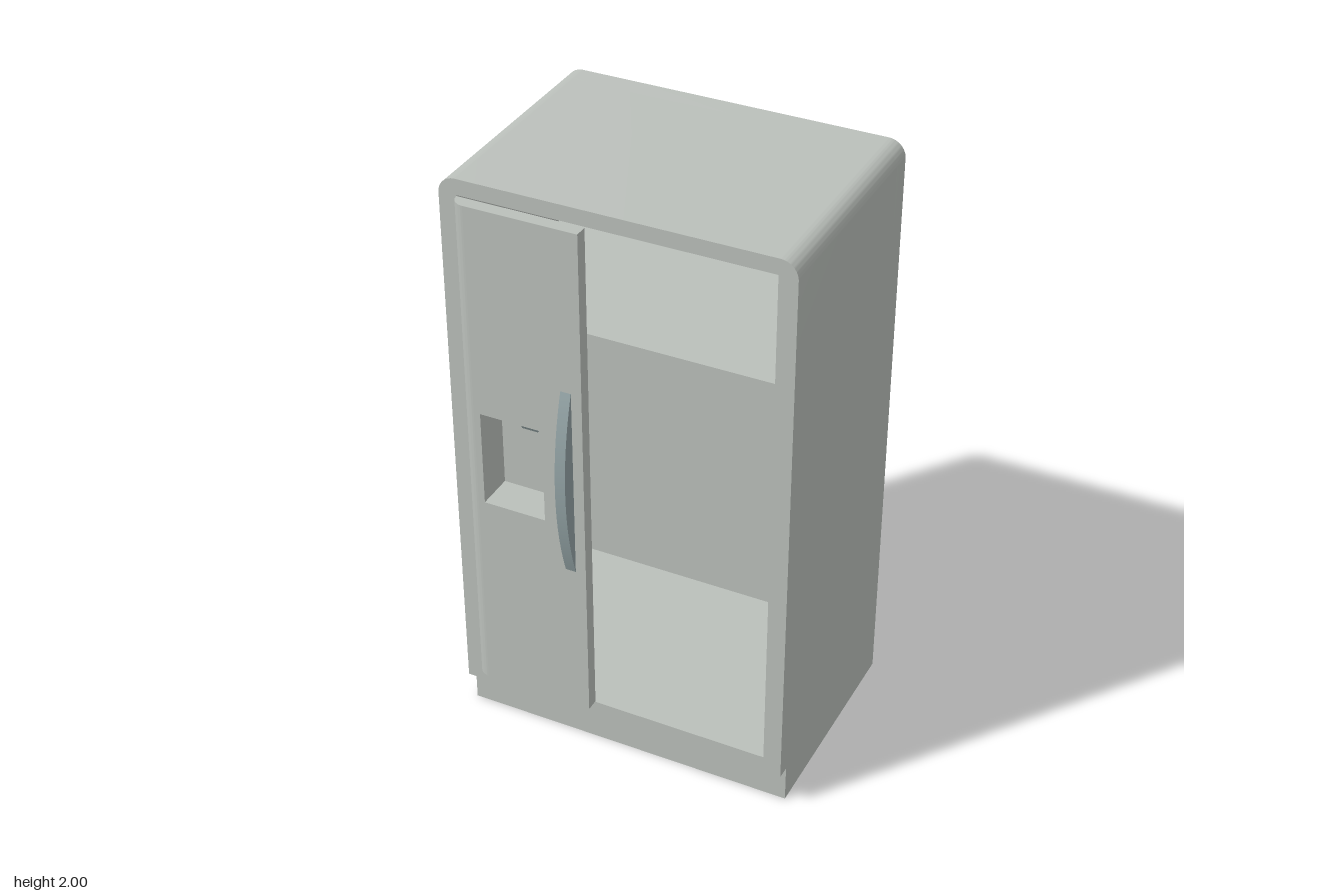
import * as THREE from 'three';
import { toCreasedNormals } from 'three/addons/utils/BufferGeometryUtils.js';

const W = 0.565, BACK = -0.44, FRONT = 0.345, DOOR = 0.388;

function rectPath(PathType, x0, y0, x1, y1) {
  const p = new PathType();
  p.moveTo(x0, y0);
  p.lineTo(x1, y0);
  p.lineTo(x1, y1);
  p.lineTo(x0, y1);
  p.closePath();
  return p;
}

function extrude(shape, depth) {
  const g = new THREE.ExtrudeGeometry(shape, { depth, bevelEnabled: false, curveSegments: 12 });
  return toCreasedNormals(g, 0.5);
}

export function createModel() {
  const group = new THREE.Group();
  const shell = new THREE.MeshStandardMaterial({ color: 0xbbc0bb });
  shell.name = 'paleGrey';
  const steel = new THREE.MeshStandardMaterial({ color: 0x92a2a4 });
  steel.name = 'blueGrey';

  const add = (name, geometry, material = shell) => {
    const mesh = new THREE.Mesh(geometry, material);
    mesh.name = name;
    group.add(mesh);
    return mesh;
  };
  const box = (name, x0, x1, y0, y1, z0, z1, material) =>
    add(name, new THREE.BoxGeometry(x1 - x0, y1 - y0, z1 - z0), material)
      .position.set((x0 + x1) / 2, (y0 + y1) / 2, (z0 + z1) / 2);

  // Cabinet outline with rounded top corners
  const outline = () => {
    const r = 0.056, s = new THREE.Shape();
    s.moveTo(-W, 0.13);
    s.lineTo(W, 0.13);
    s.lineTo(W, 2 - r);
    s.absarc(W - r, 2 - r, r, 0, Math.PI / 2, false);
    s.lineTo(-W + r, 2);
    s.absarc(-W + r, 2 - r, r, Math.PI / 2, Math.PI, false);
    s.closePath();
    return s;
  };

  // Hollow cabinet, closed by a back wall and set on a recessed plinth
  const cavityBack = -0.37;
  const frame = outline();
  frame.holes.push(rectPath(THREE.Path, -0.505, 0.19, 0.505, 1.948));
  add('cabinet', extrude(frame, FRONT - cavityBack)).position.z = cavityBack;
  add('backWall', extrude(outline(), cavityBack - BACK)).position.z = BACK;
  box('plinth', -W, W, 0, 0.13, BACK, 0.3);
  box('shelf', -0.505, 0.505, 1.503, 1.562, cavityBack, 0.3);

  // Door panel with the dispenser opening
  const d = { x0: -0.44, x1: -0.228, y0: 0.905, y1: 1.235, z: 0.262 };
  const y0 = 0.193, y1 = 1.945, seam = -0.462;
  const panel = rectPath(THREE.Shape, seam, y0, -0.09, y1);
  panel.holes.push(rectPath(THREE.Path, d.x0, d.y0, d.x1, d.y1));
  add('door', extrude(panel, DOOR - FRONT)).position.z = FRONT;

  // Rounded hinge edge of the door, drawn in plan and extruded upward
  const edge = new THREE.Shape();
  edge.moveTo(seam, -FRONT);
  edge.lineTo(-0.505, -FRONT);
  edge.absarc(seam, -FRONT, DOOR - FRONT, Math.PI, Math.PI * 1.5, false);
  edge.closePath();
  const edgeMesh = add('doorEdge', extrude(edge, y1 - y0));
  edgeMesh.rotation.x = -Math.PI / 2;
  edgeMesh.position.y = y0;

  // Dispenser niche: thin sleeve and back plate behind the door
  const t = 0.008;
  const sleeve = rectPath(THREE.Shape, d.x0 - t, d.y0 - t, d.x1 + t, d.y1 + t);
  sleeve.holes.push(rectPath(THREE.Path, d.x0, d.y0, d.x1, d.y1));
  add('dispenserNiche', extrude(sleeve, FRONT - d.z)).position.z = d.z;
  box('dispenserBack', d.x0 - t, d.x1 + t, d.y0 - t, d.y1 + t, d.z - t, d.z);

  // Side profiles are drawn as (-z, y) and turned to run along x
  const sideProfile = (name, shape, x0, x1) => {
    const mesh = add(name, extrude(shape, x1 - x0), steel);
    mesh.rotation.y = Math.PI / 2;
    mesh.position.x = x0;
  };

  // Wedge-shaped nozzle hanging from the niche ceiling
  const wedge = new THREE.Shape();
  wedge.moveTo(-d.z, d.y1);
  wedge.lineTo(-d.z, 1.14);
  wedge.lineTo(-d.z - 0.015, 1.14);
  wedge.lineTo(-d.z - 0.065, d.y1);
  wedge.closePath();
  sideProfile('dispenserNozzle', wedge, -0.36, -0.305);

  // Bowed handle, a circular segment against the door
  const half = 0.33, bow = 0.44 - DOOR, mid = 1.07;
  const R = (half * half + bow * bow) / (2 * bow);
  const a = Math.asin(half / R);
  const arc = new THREE.Shape();
  arc.absarc(-DOOR - bow + R, mid, R, Math.PI - a, Math.PI + a, false);
  arc.closePath();
  sideProfile('handle', arc, -0.16, -0.125);

  return group;
}
